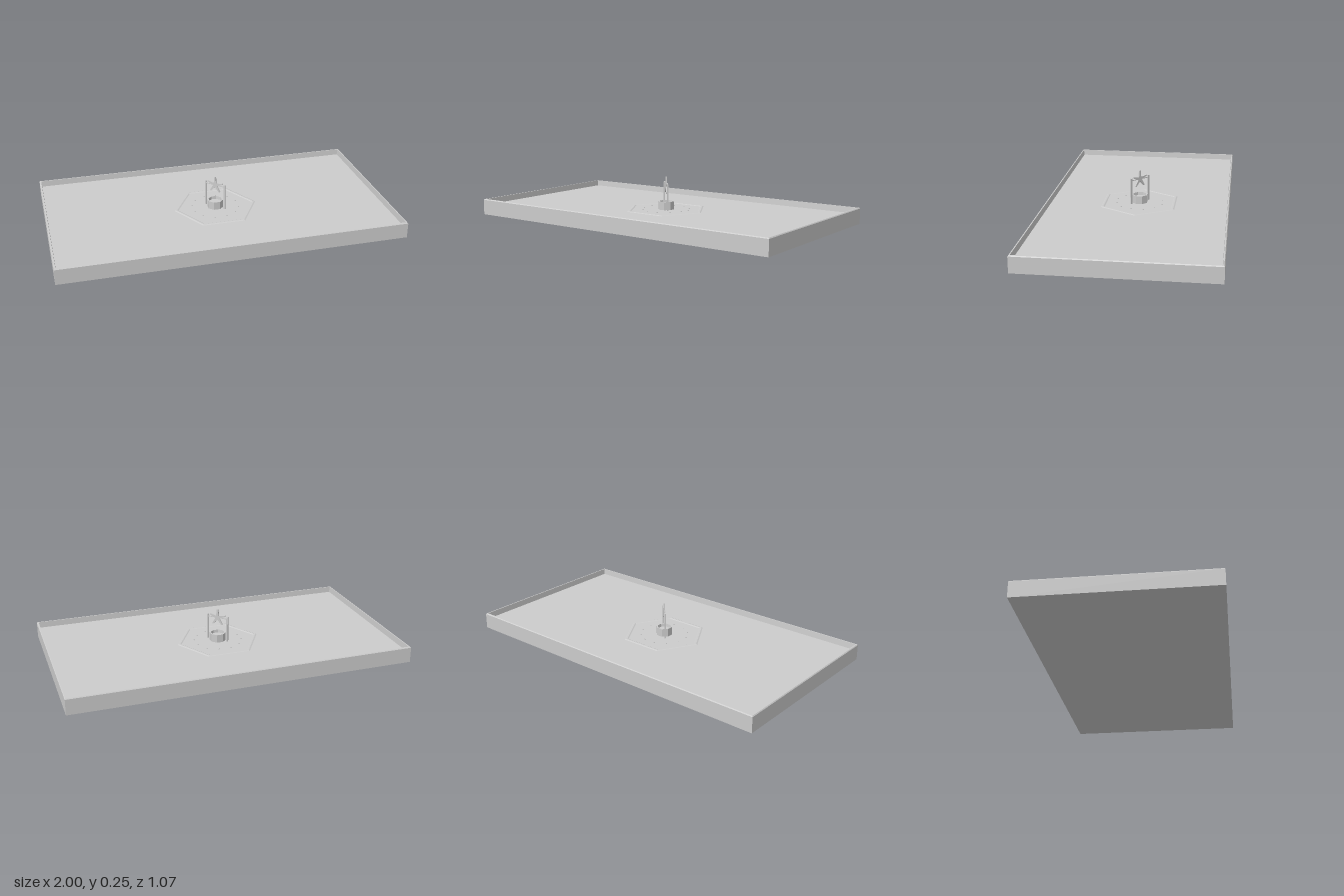
import * as THREE from 'three';

const FLOOR = 0.06;
const material = new THREE.MeshStandardMaterial({ color: 0xcccccc, flatShading: true });

function add(parent, name, geometry, x = 0, y = 0, z = 0) {
  const mesh = new THREE.Mesh(geometry, material);
  mesh.name = name;
  mesh.position.set(x, y, z);
  parent.add(mesh);
  return mesh;
}

// Regular polygon outline as [x, z] pairs, ordered by angle
function polygon(sides, turn = 0) {
  return Array.from({ length: sides }, (_, i) => {
    const a = turn + (i / sides) * Math.PI * 2;
    return [Math.cos(a), Math.sin(a)];
  });
}

// Skin an outline scaled through rows of [scaleX, scaleZ, y]
function loft(outline, rows) {
  const positions = [];
  const n = outline.length;
  const corner = ([sx, sz, y], i) => [outline[i % n][0] * sx, y, outline[i % n][1] * sz];
  for (let r = 0; r < rows.length - 1; r++) {
    for (let i = 0; i < n; i++) {
      const a = corner(rows[r], i), b = corner(rows[r], i + 1);
      const c = corner(rows[r + 1], i), d = corner(rows[r + 1], i + 1);
      positions.push(...a, ...c, ...b, ...b, ...c, ...d);
    }
  }
  const geometry = new THREE.BufferGeometry();
  geometry.setAttribute('position', new THREE.Float32BufferAttribute(positions, 3));
  geometry.computeVertexNormals();
  return geometry;
}

export function createModel() {
  const model = new THREE.Group();
  model.name = 'courtyardTray';

  // Shallow rectangular tray with a thin, slightly chamfered rim
  const rectangle = [[1, -1], [1, 1], [-1, 1], [-1, -1]];
  add(model, 'tray', loft(rectangle, [
    [0, 0, 0], [1, 0.535, 0], [1, 0.535, 0.09], [0.996, 0.531, 0.095],
    [0.99, 0.525, 0.095], [0.987, 0.522, FLOOR], [0, 0, FLOOR],
  ]));

  // Low hexagonal kerb, sloping into the floor on both sides
  add(model, 'hexagonKerb', loft(polygon(6), [
    [0.25, 0.25, FLOOR], [0.242, 0.242, FLOOR + 0.003],
    [0.232, 0.232, FLOOR + 0.003], [0.225, 0.225, FLOOR],
  ]));

  // Ring of tiny studs set into the floor
  for (const [x, z] of polygon(12, Math.PI / 12)) {
    add(model, 'floorStud', new THREE.CylinderGeometry(0.004, 0.004, 0.004, 6),
      x * 0.14, FLOOR + 0.001, z * 0.14);
  }

  // Central eight-sided basin
  add(model, 'basin', loft(polygon(8, Math.PI / 8), [
    [0.048, 0.048, FLOOR], [0.048, 0.048, 0.108], [0.04, 0.04, 0.108],
    [0.038, 0.038, 0.09], [0, 0, 0.09],
  ]));

  // Star frame stands on the tray diagonal
  const frame = new THREE.Group();
  frame.name = 'starFrame';
  frame.rotation.y = -Math.PI / 4;
  model.add(frame);

  const postHeight = 0.216 - FLOOR;
  for (const side of [-1, 1]) {
    add(frame, 'post', new THREE.BoxGeometry(0.01, postHeight, 0.008),
      side * 0.064, FLOOR + postHeight / 2, 0);
  }
  add(frame, 'crossBar', new THREE.BoxGeometry(0.128, 0.005, 0.005), 0, 0.203, 0);

  // Five blunt tapered arms make the star
  const star = new THREE.Shape();
  for (let i = 0; i < 5; i++) {
    const a = Math.PI / 2 + (i / 5) * Math.PI * 2;
    const put = (r, angle) => star[i === 0 && r > 0.02 && angle < a ? 'moveTo' : 'lineTo'](
      r * Math.cos(angle), r * Math.sin(angle));
    put(0.052, a - 0.07);
    put(0.052, a + 0.07);
    put(0.014, a + Math.PI / 5);
  }
  const starGeometry = new THREE.ExtrudeGeometry(star, { depth: 0.008, bevelEnabled: false });
  starGeometry.translate(0, 0, -0.004);
  add(frame, 'star', starGeometry, 0, 0.203, 0);

  return model;
}
